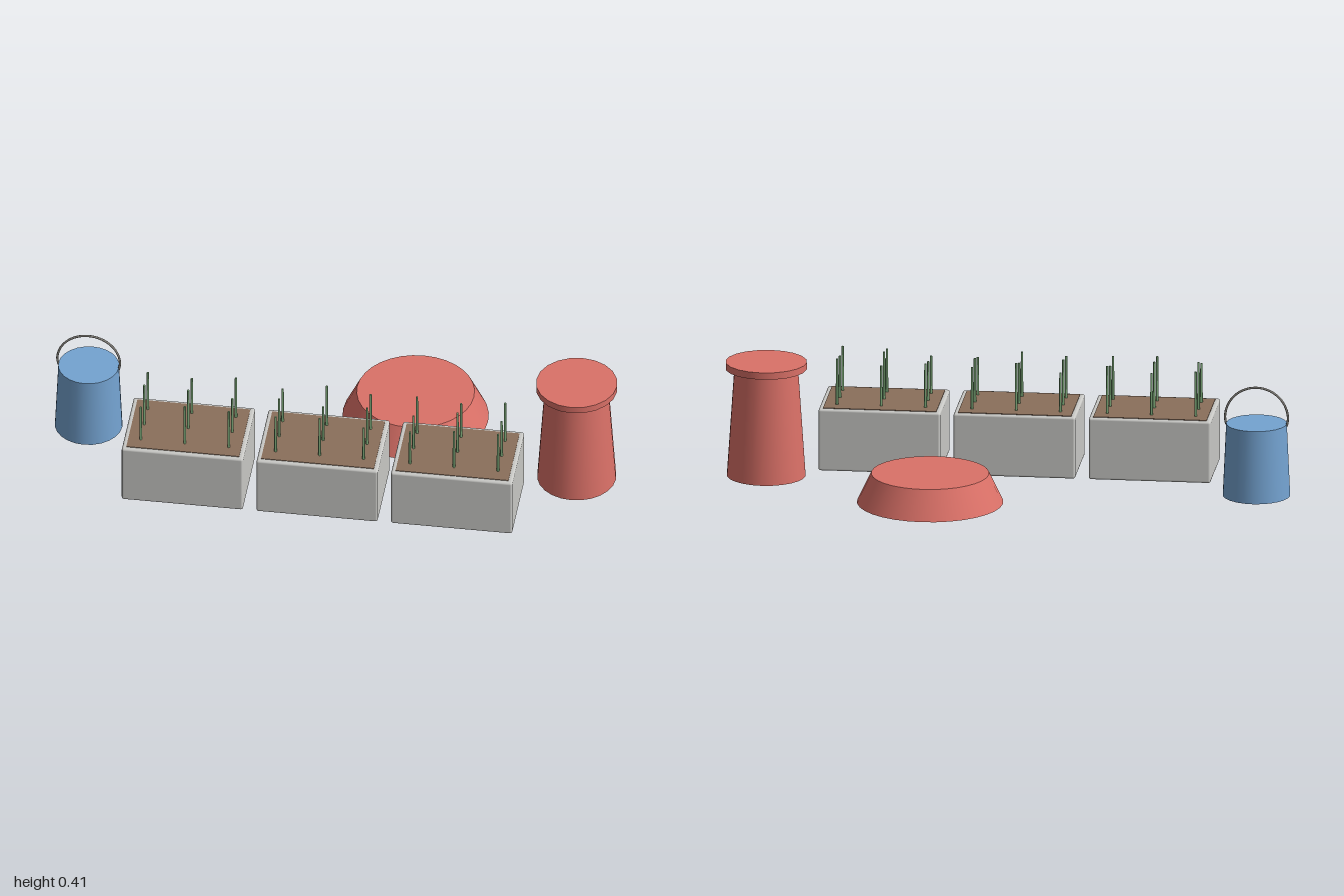
import * as THREE from 'three';
import { RoundedBoxGeometry } from 'three/addons/geometries/RoundedBoxGeometry.js';

const mat = (name, color) => {
  const m = new THREE.MeshStandardMaterial({ color });
  m.name = name;
  return m;
};

export function createModel() {
  const root = new THREE.Group();
  const concrete = mat('concrete', 0xc9c9c6);
  const soil = mat('soil', 0x8a6f5b);
  const stemGreen = mat('stem green', 0x80ae7c);
  const terracotta = mat('terracotta', 0xdb7168);
  const blue = mat('bucket blue', 0x74a3d1);
  const wire = mat('handle grey', 0x85827c);

  const add = (parent, name, geo, material, x = 0, y = 0, z = 0) => {
    const m = new THREE.Mesh(geo, material);
    m.name = name;
    m.position.set(x, y, z);
    parent.add(m);
    return m;
  };
  const group = (name, x, z) => {
    const g = new THREE.Group();
    g.name = name;
    g.position.set(x, 0, z);
    root.add(g);
    return g;
  };
  // Upright solid cone section between two heights
  const drum = (parent, name, rTop, rBottom, y0, y1, material, sides = 24) =>
    add(parent, name, new THREE.CylinderGeometry(rTop, rBottom, y1 - y0, sides), material, 0, (y0 + y1) / 2, 0);

  // Three planter blocks, each with a soil bed and a 3 x 3 set of stems
  const blockH = 0.226;
  const stemTops = [
    [0.39, 0.38, 0.40, 0.40, 0.395, 0.375, 0.37, 0.39, 0.385],
    [0.37, 0.40, 0.38, 0.392, 0.375, 0.387, 0.38, 0.39, 0.365],
    [0.387, 0.375, 0.395, 0.37, 0.40, 0.38, 0.365, 0.385, 0.39],
  ];
  [-0.49, -0.0125, 0.464].forEach((x, b) => {
    const planter = group('planter', x, 0.291);
    add(planter, 'planterBlock', new RoundedBoxGeometry(0.43, blockH - 0.002, 0.302, 2, 0.008),
      concrete, 0, blockH / 2 + 0.001, 0);
    add(planter, 'soilBed', new THREE.BoxGeometry(0.40, 0.004, 0.272), soil, 0, blockH, 0);
    stemTops[b].forEach((top, i) => {
      const h = top - blockH + 0.01;
      add(planter, 'stem', new THREE.CylinderGeometry(0.004, 0.005, h, 8), stemGreen,
        ((i % 3) - 1) * 0.156, top - h / 2, (Math.floor(i / 3) - 1) * 0.087);
    });
  });

  // Tall tapered pot with a separate disc lid
  const pot = group('tallPot', 0.855, 0.077);
  drum(pot, 'potBody', 0.113, 0.139, 0, 0.384, terracotta);
  drum(pot, 'potLid', 0.143, 0.143, 0.389, 0.414, terracotta, 20);

  // Wide low bowl behind the planters
  const bowl = group('lowBowl', 0.246, -0.187);
  drum(bowl, 'bowlBody', 0.207, 0.257, 0, 0.105, terracotta, 32);

  // Bucket with a wire handle
  const bucket = group('bucket', -0.881, 0.029);
  drum(bucket, 'bucketBody', 0.107, 0.119, 0, 0.262, blue);
  const path = [new THREE.Vector3(0.107, 0.255, 0)];
  for (let i = 0; i <= 16; i++) {
    const a = (i / 16) * Math.PI;
    path.push(new THREE.Vector3(0.111 * Math.cos(a), 0.28 + 0.111 * Math.sin(a), 0));
  }
  path.push(new THREE.Vector3(-0.107, 0.255, 0));
  add(bucket, 'bucketHandle',
    new THREE.TubeGeometry(new THREE.CatmullRomCurve3(path), 48, 0.004, 8), wire);

  return root;
}
